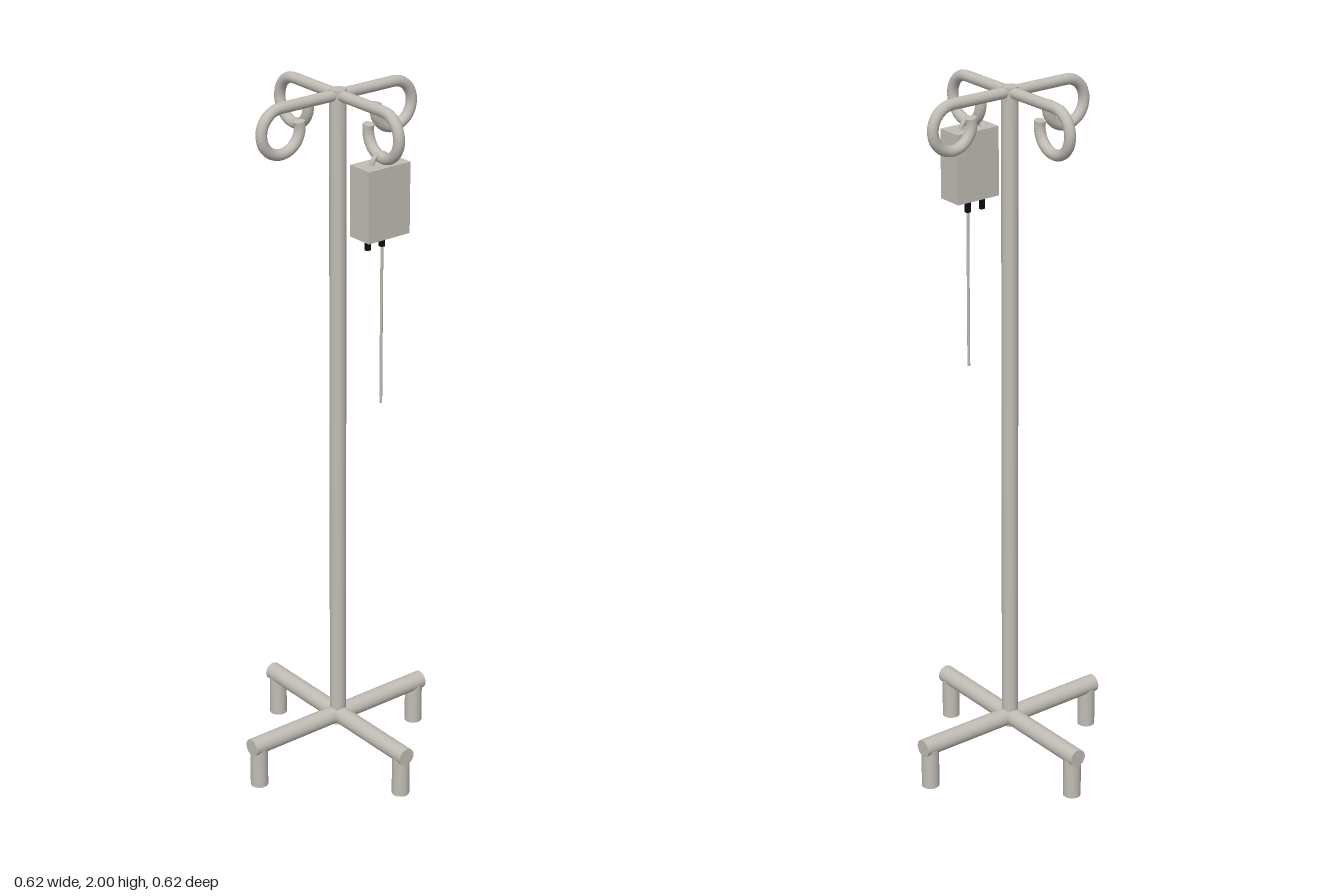
import * as THREE from 'three';

export function createModel() {
  const steel = new THREE.MeshStandardMaterial({ name: 'warm grey', color: 0xc0bcb4 });
  const black = new THREE.MeshStandardMaterial({ name: 'black', color: 0x0c0c0c });
  const model = new THREE.Group();
  model.name = 'dripStand';

  const add = (parent, name, geometry, material, x = 0, y = 0, z = 0) => {
    const mesh = new THREE.Mesh(geometry, material);
    mesh.name = name;
    mesh.position.set(x, y, z);
    parent.add(mesh);
    return mesh;
  };
  const rod = (r, length, sides = 28) => new THREE.CylinderGeometry(r, r, length, sides);

  // Upright pole
  add(model, 'pole', rod(0.023, 1.9), steel, 0, 1.05, 0);

  // Crossed base bars
  const base = new THREE.Group();
  base.name = 'base';
  model.add(base);
  add(base, 'baseBarSide', rod(0.0255, 0.62), steel, 0, 0.127, 0).rotation.z = Math.PI / 2;
  add(base, 'baseBarFront', rod(0.0255, 0.62), steel, 0, 0.127, 0).rotation.x = Math.PI / 2;

  // Hook centreline: a straight arm, then a curl back towards the pole
  const R = 0.062, cx = 0.187, cy = 1.9225;
  const points = [0, 0.045, 0.09, 0.135].map(x => new THREE.Vector3(x, cy + R, 0));
  for (let i = 0; i <= 24; i++) {
    const a = Math.PI / 2 - (i / 24) * Math.PI * 1.58;
    points.push(new THREE.Vector3(cx + R * Math.cos(a), cy + R * Math.sin(a), 0));
  }
  const hookPath = new THREE.CatmullRomCurve3(points);
  const hookGeometry = new THREE.TubeGeometry(hookPath, 90, 0.0152, 16);
  const tip = hookPath.getPoint(1);
  const tipDirection = hookPath.getTangent(1);

  // Four legs and four hooks around the pole
  for (let i = 0; i < 4; i++) {
    const arm = new THREE.Group();
    arm.name = 'arm' + (i + 1);
    arm.rotation.y = (i * Math.PI) / 2;
    model.add(arm);
    add(arm, 'leg', rod(0.025, 0.125), steel, 0.285, 0.0625, 0);
    add(arm, 'hook', hookGeometry, steel);
    const cap = add(arm, 'hookTip', new THREE.CircleGeometry(0.0152, 16), steel, tip.x, tip.y, tip.z);
    cap.quaternion.setFromUnitVectors(new THREE.Vector3(0, 0, 1), tipDirection);
  }

  // Fluid bag hanging from the left hook
  const bag = new THREE.Group();
  bag.name = 'fluidBag';
  model.add(bag);
  add(bag, 'bagBody', new THREE.BoxGeometry(0.077, 0.195, 0.137), steel, 0.1765, 1.7475, 0.001);
  const loop = new THREE.TorusGeometry(0.028, 0.0065, 10, 24, Math.PI);
  add(bag, 'bagLoop', loop, steel, 0.1765, 1.843, 0.001).rotation.y = Math.PI / 2;

  // Ports under the bag and the drip line
  for (const z of [0.034, -0.014]) {
    add(bag, 'port', rod(0.0085, 0.04, 16), black, 0.167, 1.633, z);
  }
  add(bag, 'dripLine', rod(0.004, 0.455, 12), steel, 0.167, 1.3925, -0.014);

  return model;
}
